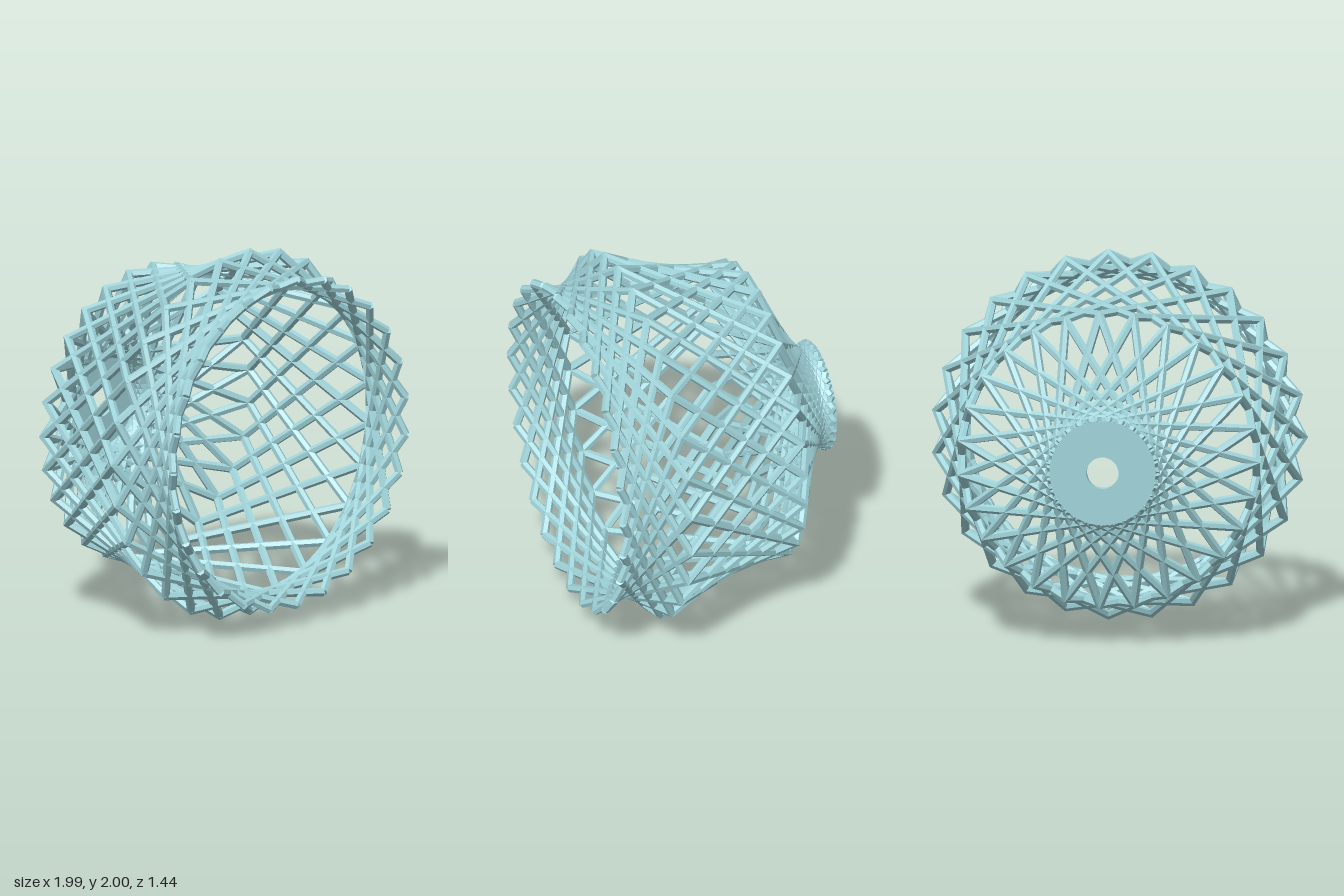
import * as THREE from 'three';

const COUNT = 27;                       // struts per winding direction
const STEP = (Math.PI * 2) / COUNT;
const SIDES = 6, STRUT_R = 0.023;

// Node rings from the open front rim to the hub: depth, radius, steps turned so far
const RINGS = [
  { z: 0.70, r: 0.885, turn: 0 },
  { z: 0.35, r: 0.974, turn: 4 },
  { z: -0.35, r: 0.782, turn: 7 },
  { z: -0.695, r: 0.28, turn: 14 },
];

// One bent hexagonal strut with mitred corners; hand is +1 or -1
function strutGeometry(hand) {
  const nodes = RINGS.map(({ z, r, turn }) => {
    const a = hand * turn * STEP + STEP / 2;
    return new THREE.Vector3(r * Math.cos(a), r * Math.sin(a), z);
  });
  const dirs = nodes.slice(1).map((n, i) => n.clone().sub(nodes[i]).normalize());
  const last = nodes.length - 1;

  // Hexagon square to the first run
  const out = nodes[0].clone().setZ(0);
  const u = out.addScaledVector(dirs[0], -out.dot(dirs[0])).normalize();
  const v = dirs[0].clone().cross(u);
  let ring = [];
  for (let k = 0; k < SIDES; k++) {
    const a = ((k + 0.5) / SIDES) * Math.PI * 2;
    ring.push(nodes[0].clone()
      .addScaledVector(u, STRUT_R * Math.cos(a))
      .addScaledVector(v, STRUT_R * Math.sin(a)));
  }

  // Slide the section along each run onto the next mitre plane
  const points = [...ring];
  for (let i = 1; i <= last; i++) {
    const d = dirs[i - 1];
    const n = d.clone().add(dirs[Math.min(i, last - 1)]);
    ring = ring.map((p) => p.clone().addScaledVector(
      d, nodes[i].clone().sub(p).dot(n) / d.dot(n)));
    points.push(...ring);
  }

  const index = [];
  for (let i = 0; i < last; i++) {
    for (let k = 0; k < SIDES; k++) {
      const a = i * SIDES + k, b = i * SIDES + ((k + 1) % SIDES);
      index.push(a, b, b + SIDES, a, b + SIDES, a + SIDES);
    }
  }
  // End caps
  const e = last * SIDES;
  for (let k = 1; k < SIDES - 1; k++) {
    index.push(0, k + 1, k, e, e + k, e + k + 1);
  }
  const geo = new THREE.BufferGeometry().setFromPoints(points);
  geo.setIndex(index);
  const flat = geo.toNonIndexed();
  flat.computeVertexNormals();
  return flat;
}

export function createModel() {
  const model = new THREE.Group();
  model.name = 'latticeLampshade';
  const material = new THREE.MeshStandardMaterial({ color: 0x9fd3d9, flatShading: true });

  const shade = new THREE.Group();
  shade.name = 'shade';
  shade.position.y = 1;
  model.add(shade);

  // Two opposing sets of struts form the lattice
  for (const hand of [1, -1]) {
    const set = new THREE.Group();
    set.name = hand > 0 ? 'leftTwistStruts' : 'rightTwistStruts';
    const geo = strutGeometry(hand);
    for (let i = 0; i < COUNT; i++) {
      const strut = new THREE.Mesh(geo, material);
      strut.name = 'strut';
      strut.rotation.z = i * STEP;
      set.add(strut);
    }
    shade.add(set);
  }

  // Mounting disc with a cord hole
  const disc = new THREE.Shape().absarc(0, 0, 0.28, 0, Math.PI * 2, false);
  disc.holes.push(new THREE.Path().absarc(0, 0, 0.085, 0, Math.PI * 2, true));
  const discGeo = new THREE.ExtrudeGeometry(disc, {
    depth: 0.04, bevelEnabled: false, curveSegments: 48,
  });
  const mount = new THREE.Mesh(discGeo, material);
  mount.name = 'mountingDisc';
  mount.position.z = -0.715;
  shade.add(mount);

  return model;
}
